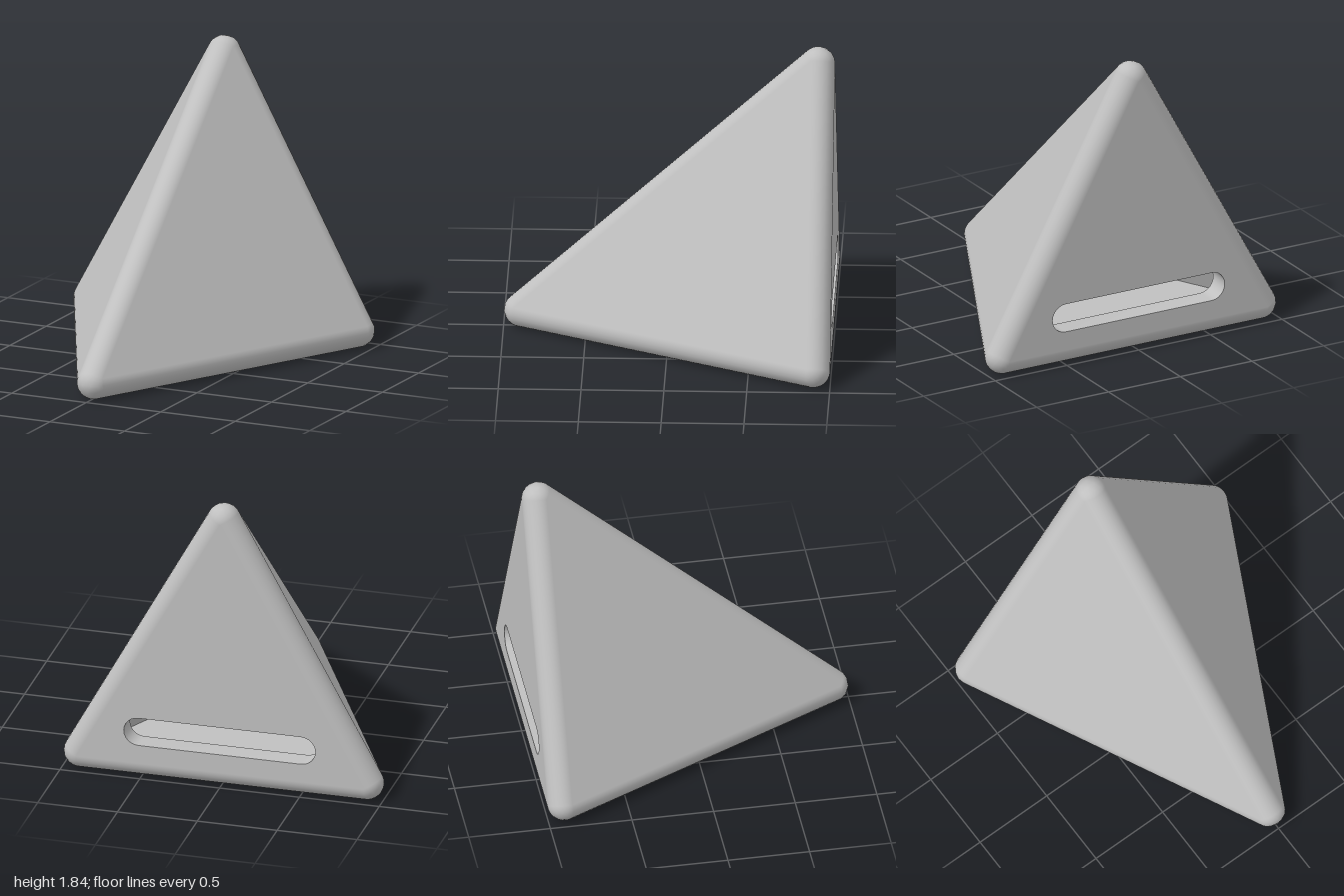
import * as THREE from 'three';
import { toCreasedNormals } from 'three/addons/utils/BufferGeometryUtils.js';

const V = (x, y, z) => new THREE.Vector3(x, y, z);
const R = 0.1;                                   // edge rounding
const STEPS = 10;
// Centres of the four rounded corners; face i lies opposite corner i
const corners = [V(-0.9, 0.1, -0.9), V(0.9, 0.1, -0.9), V(0, 0.1, 0.9), V(0, 1.74, -0.9)];
const facesOf = [[1, 2, 3], [0, 2, 3], [0, 1, 3], [0, 1, 2]];
const normals = facesOf.map(([a, b, c], i) => {
  const n = corners[b].clone().sub(corners[a]).cross(corners[c].clone().sub(corners[a])).normalize();
  return n.dot(corners[i].clone().sub(corners[a])) > 0 ? n.negate() : n;
});
const IN_CENTRE = V(0, 0.492, -0.508);
const IN_RADIUS = 0.392;

// Triangle soup with smooth outward normals; each entry is [corner centre, normal]
function roundedBody() {
  const pos = [], nor = [];
  const tri = (...e) => {
    const p = e.map(([c, n]) => c.clone().addScaledVector(n, R));
    const g = p[1].clone().sub(p[0]).cross(p[2].clone().sub(p[0]));
    const order = g.dot(e[0][1]) > 0 ? [0, 1, 2] : [0, 2, 1];
    for (const k of order) { pos.push(...p[k]); nor.push(...e[k][1]); }
  };
  const blend = (a, b, c, i, j) => V(0, 0, 0)
    .addScaledVector(a, STEPS - i - j).addScaledVector(b, i).addScaledVector(c, j).normalize();

  // Two plain sloping faces
  for (const f of [0, 1]) tri(...facesOf[f].map((c) => [corners[c], normals[f]]));

  // Rounded edges
  for (let i = 0; i < 4; i++) for (let j = i + 1; j < 4; j++) {
    const [f, g] = [0, 1, 2, 3].filter((k) => k !== i && k !== j);
    for (let s = 0; s < STEPS; s++) {
      const m = blend(normals[f], normals[g], normals[g], s, 0);
      const n = blend(normals[f], normals[g], normals[g], s + 1, 0);
      tri([corners[i], m], [corners[j], m], [corners[j], n]);
      tri([corners[i], m], [corners[j], n], [corners[i], n]);
    }
  }

  // Spherical corner patches
  corners.forEach((c, k) => {
    const [a, b, d] = facesOf[k].map((f) => normals[f]);
    const e = (i, j) => [c, blend(a, b, d, i, j)];
    for (let i = 0; i < STEPS; i++) for (let j = 0; j < STEPS - i; j++) {
      tri(e(i, j), e(i + 1, j), e(i, j + 1));
      if (i + j < STEPS - 1) tri(e(i + 1, j), e(i + 1, j + 1), e(i, j + 1));
    }
  });
  const geo = new THREE.BufferGeometry();
  geo.setAttribute('position', new THREE.Float32BufferAttribute(pos, 3));
  geo.setAttribute('normal', new THREE.Float32BufferAttribute(nor, 3));
  return geo;
}

// Flat-sided geometry from a list of triangles
function facets(points) {
  const geo = new THREE.BufferGeometry();
  geo.setAttribute('position', new THREE.Float32BufferAttribute(points.flatMap((p) => [...p]), 3));
  geo.computeVertexNormals();
  return geo;
}

// Closed band between two matching loops
function band(a, b) {
  const pts = [];
  a.forEach((p, i) => {
    const k = (i + 1) % a.length;
    pts.push(p, a[k], b[k], p, b[k], b[i]);
  });
  return toCreasedNormals(facets(pts), 0.6);
}

// Base triangle, inset from the corner centres, as 2D points (x, z)
const baseTriangle = (d) => [
  new THREE.Vector2(-0.9 + 1.618 * d, -0.9 + d),
  new THREE.Vector2(0.9 - 1.618 * d, -0.9 + d),
  new THREE.Vector2(0, 0.9 - 2.236 * d),
];

function plate(outline, hole) {
  const shape = new THREE.Shape(outline);
  if (hole) shape.holes.push(new THREE.Path(hole));
  return new THREE.ShapeGeometry(shape);
}

// Slot outline with round ends
function slotLoop(halfLength = 0.6, r = 0.09, y = 0.31, n = 12) {
  const pts = [];
  for (const side of [1, -1]) for (let i = 0; i <= n; i++) {
    const t = (i / n - 0.5) * Math.PI;
    pts.push(new THREE.Vector2(side * (halfLength - r + r * Math.cos(t)), y + side * r * Math.sin(t)));
  }
  return pts;
}

export function createModel() {
  const group = new THREE.Group();
  const grey = new THREE.MeshStandardMaterial({ color: 0xc0c0c0 });
  grey.name = 'light grey';
  const add = (name, geo) => {
    const mesh = new THREE.Mesh(geo, grey);
    mesh.name = name;
    group.add(mesh);
  };

  add('roundedBody', roundedBody());

  // Back face with the slot cut through the wall
  const wall = 0.14;
  const slot = slotLoop();
  const flat = (c) => new THREE.Vector2(c.x, c.y);
  const backTriangle = [corners[0], corners[1], corners[3]].map(flat);
  add('backFace', plate(backTriangle, slot).rotateY(Math.PI).translate(0, 0, -1));
  const slotAt = (z) => slot.map((p) => V(p.x, p.y, z));
  add('slotWall', band(slotAt(-1 + wall), slotAt(-1)));

  // Hollow inside, facing inwards
  const inner = corners.map((c) => c.clone().sub(IN_CENTRE)
    .multiplyScalar(1 - (wall - R) / IN_RADIUS).add(IN_CENTRE));
  add('cavityBack', plate([inner[0], inner[1], inner[3]].map(flat), slot).translate(0, 0, -1 + wall));
  add('cavityWalls', facets([
    inner[0], inner[2], inner[1],
    inner[0], inner[3], inner[2],
    inner[1], inner[2], inner[3],
  ]));

  // Underside with a triangular groove around a raised centre
  const depth = 0.04, outer = baseTriangle(0.07), centre = baseTriangle(0.18);
  const underside = (y, outline, hole) => plate(outline, hole).rotateX(Math.PI / 2).translate(0, y, 0);
  const loopAt = (loop, y) => loop.map((p) => V(p.x, y, p.y));
  add('underside', underside(0, baseTriangle(0), outer));
  add('grooveFloor', underside(depth, outer, centre));
  add('undersideCentre', underside(0, centre));
  add('grooveOuterWall', band(loopAt(outer, 0), loopAt(outer, depth)));
  add('grooveInnerWall', band(loopAt(centre, depth), loopAt(centre, 0)));

  return group;
}
